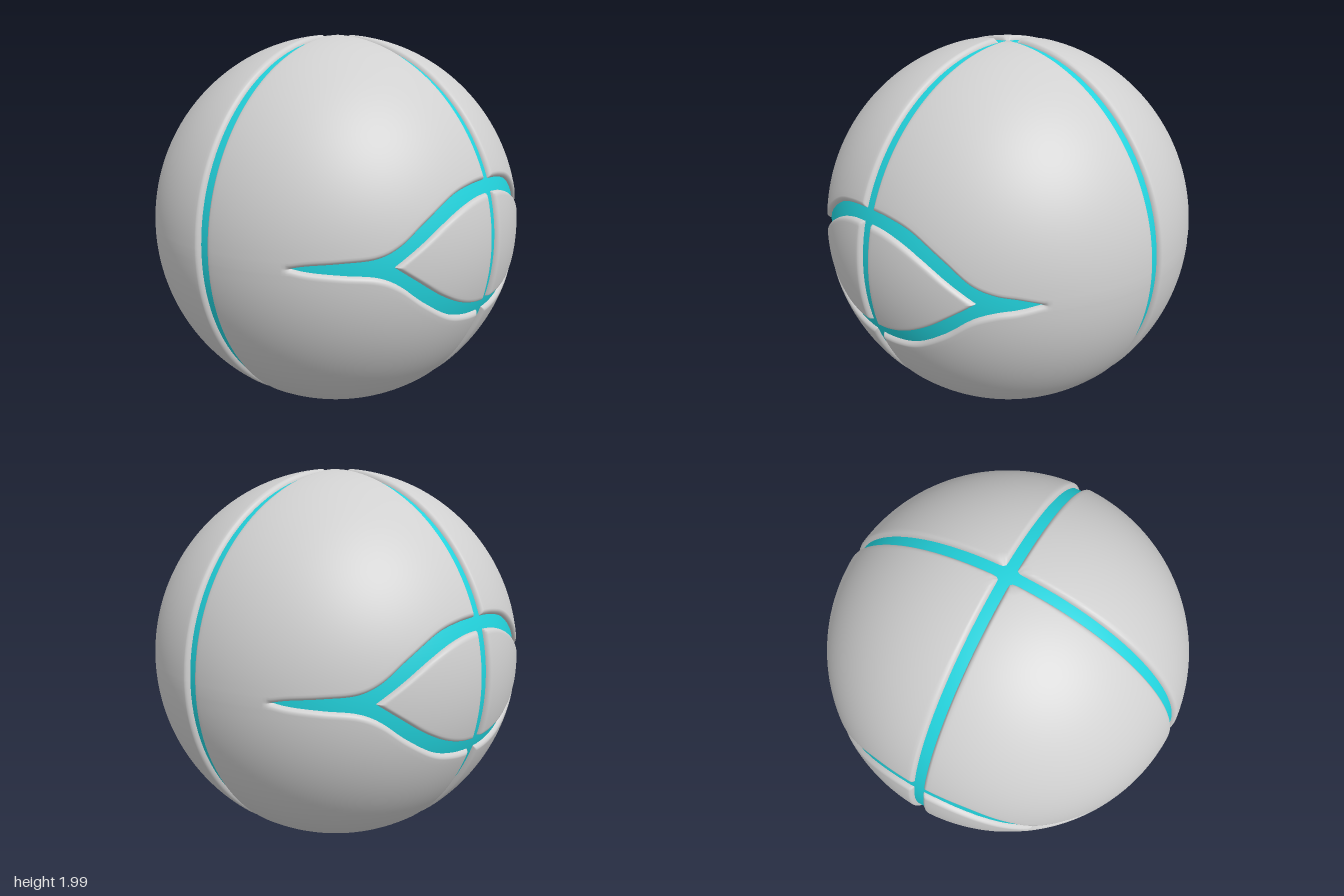
import * as THREE from 'three';

const W = 0.027;       // half width of the straight grooves
const BEVEL = 0.022;   // rounding of panel edges
const DROP = 0.034;    // how far an edge dips, ending below the core
const SCALE = new THREE.Vector3(0.992, 1, 0.987);

// Unit direction from azimuth (0 = front, 90 deg = side) and elevation
const dir = (az, el) =>
  new THREE.Vector3(Math.cos(el) * Math.sin(az), Math.sin(el), Math.cos(el) * Math.cos(az));

// Curve given as [x, height] points seen from the front, turned into a lookup on the sphere
function makeEdge(points) {
  const angles = points.map(([x, y]) => {
    const el = Math.asin(y);
    return new THREE.Vector2(Math.asin(x / Math.cos(el)), el);
  });
  const pts = new THREE.SplineCurve(angles).getPoints(80);
  const dirs = pts.map((p) => dir(p.x, p.y));
  const lines = dirs.slice(1).map((d, i) => new THREE.Line3(dirs[i], d));
  const end = pts[pts.length - 1].x;
  const hit = new THREE.Vector3();
  return {
    end,
    elevation(az) {
      if (az >= end) return 0;
      const i = Math.max(1, pts.findIndex((p) => p.x > az));
      const a = pts[i - 1], b = pts[i];
      return Math.max(0, a.y + (b.y - a.y) * (az - a.x) / (b.x - a.x));
    },
    distance(p) {
      let best = Infinity;
      for (const l of lines) {
        l.closestPointToPoint(p, true, hit);
        best = Math.min(best, hit.distanceToSquared(p));
      }
      return Math.sqrt(best);
    },
  };
}

// Parameter steps, denser at the ends where the edges are rounded
function steps(n, fine, atStart = true, atEnd = true) {
  const near = [0, 0.04, 0.15, 0.35, 0.65, 1].map((t) => t * fine);
  const a = atStart ? near : [0];
  const b = atEnd ? near.map((t) => 1 - t).reverse() : [1];
  const lo = a[a.length - 1], hi = b[0];
  const mid = [];
  for (let i = 1; i < n; i++) mid.push(lo + (hi - lo) * i / n);
  return [...a, ...mid, ...b];
}

// Curved panel over a grid; place(u, v) gives azimuth and elevation
function panel(us, vs, place, edge, [sx, sy, sz]) {
  const pos = [], index = [];
  for (const v of vs) for (const u of us) {
    const p = dir(...place(u, v));
    const q = p.clone();
    q.y = Math.abs(q.y);
    const d = Math.max(0, Math.min(p.x - W, p.z - W, edge.distance(q)));
    const t = 1 - Math.min(1, d / BEVEL);
    p.multiplyScalar(1 - DROP * (1 - Math.sqrt(1 - t * t))).multiply(SCALE);
    pos.push(p.x * sx, p.y * sy, p.z * sz);
  }
  const n = us.length, flip = sx * sy * sz < 0;
  for (let j = 0; j < vs.length - 1; j++) for (let i = 0; i < n - 1; i++) {
    const a = j * n + i, b = a + 1, c = b + n, d = a + n;
    if (flip) index.push(a, c, b, a, d, c);
    else index.push(a, b, c, a, c, d);
  }
  const g = new THREE.BufferGeometry();
  g.setAttribute('position', new THREE.Float32BufferAttribute(pos, 3));
  g.setIndex(index);
  g.computeVertexNormals();
  return g;
}

export function createModel() {
  const shell = new THREE.MeshStandardMaterial({ color: 0xd0d0d0 });
  shell.name = 'light grey shell';
  const glow = new THREE.MeshStandardMaterial({ color: 0x22d3dd });
  glow.name = 'cyan core';

  const group = new THREE.Group();
  group.name = 'panelledSphere';
  const add = (geometry, material, name) => {
    const mesh = new THREE.Mesh(geometry, material);
    mesh.name = name;
    mesh.position.y = 1;
    group.add(mesh);
    return mesh;
  };

  // Core seen at the bottom of the grooves
  add(new THREE.SphereGeometry(0.977, 96, 64), glow, 'core').scale.copy(SCALE);

  // Outer rim of the eye groove, running out into a pointed tail
  const arch = [[0, 0.335], [0.14, 0.325], [0.28, 0.288], [0.44, 0.19], [0.56, 0.09]];
  const shortTail = makeEdge([...arch, [0.65, 0.045], [0.73, 0.026], [0.80, 0]]);
  const longTail = makeEdge([...arch, [0.65, 0.042], [0.76, 0.027], [0.85, 0.014], [0.89, 0]]);
  // Inner rim of the eye groove
  const lens = makeEdge([[0, 0.275], [0.12, 0.265], [0.24, 0.23], [0.36, 0.168], [0.48, 0.083], [0.585, 0]]);

  const inset = (el) => Math.asin(Math.min(Math.SQRT1_2, W / Math.cos(el)));
  const top = Math.acos(W * Math.SQRT2);

  // Large panel from the eye groove up to the pole
  const placeOuter = (edge) => (u, v) => {
    const azimuth = (el) => inset(el) + (Math.PI / 2 - 2 * inset(el)) * u;
    let low = 0;
    for (let i = 0; i < 4; i++) low = edge.elevation(azimuth(low));
    const el = low + (top - low) * v;
    return [azimuth(el), el];
  };

  // Half of the eye plate, narrowing to its corner
  const placeLens = (u, v) => {
    let az = 0, el = 0;
    for (let i = 0; i < 4; i++) {
      const a = inset(el);
      az = a + (lens.end - a) * u;
      el = lens.elevation(az) * (2 * v - 1);
    }
    return [az, el];
  };

  for (const sz of [1, -1]) for (const sx of [1, -1]) {
    const where = (sz > 0 ? 'Front' : 'Back') + (sx > 0 ? 'Left' : 'Right');
    const edge = sx * sz > 0 ? shortTail : longTail;
    for (const sy of [1, -1]) {
      const geometry = panel(steps(70, 0.016), steps(40, 0.02, true, false),
        placeOuter(edge), edge, [sx, sy, sz]);
      add(geometry, shell, (sy > 0 ? 'upper' : 'lower') + where + 'Panel');
    }
    add(panel(steps(36, 0.04, true, true), steps(30, 0.06), placeLens, lens, [sx, 1, sz]),
      shell, 'eyePlate' + where);
  }
  return group;
}
